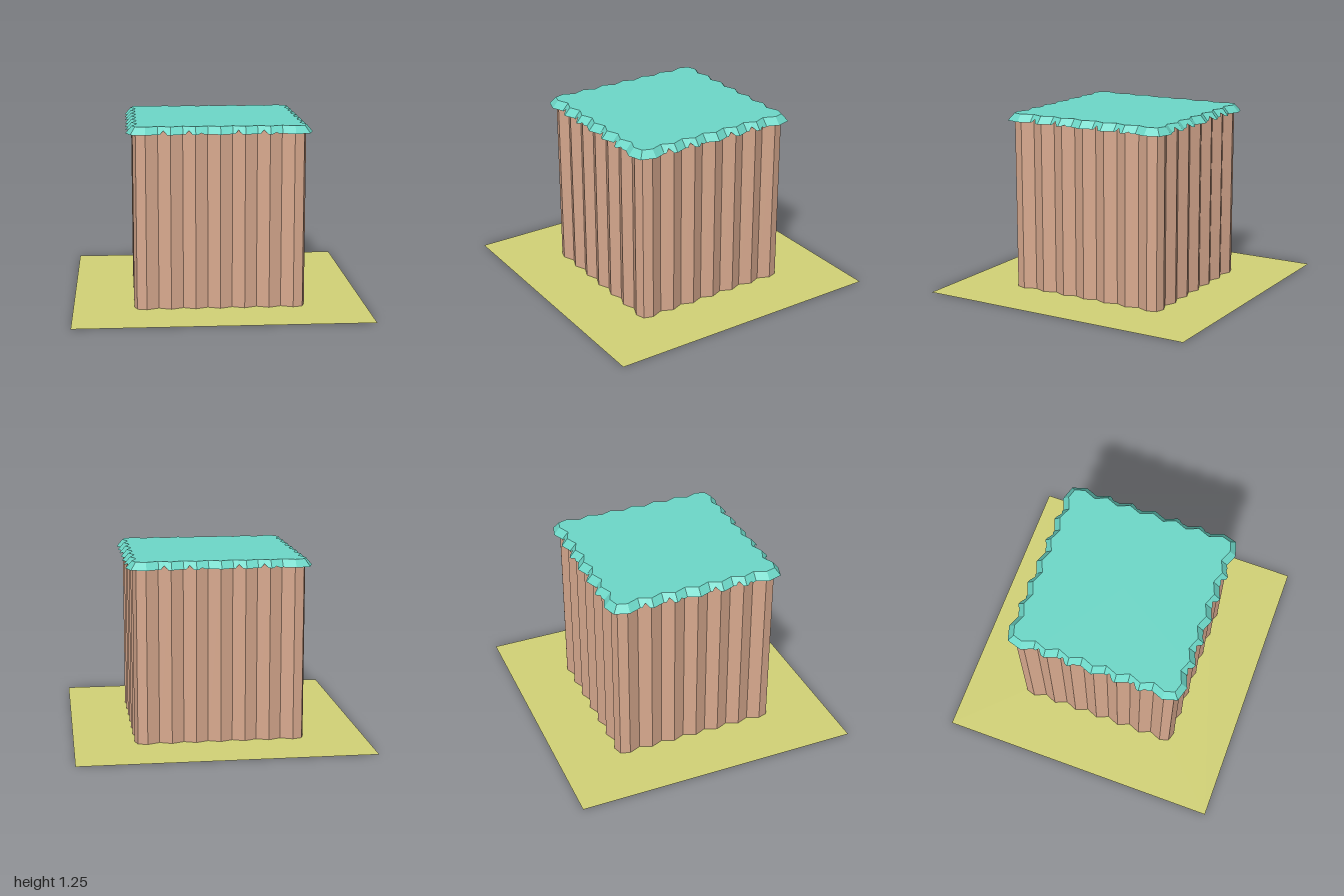
import * as THREE from 'three';

const STEP = 1 / 12;

// Turns one side's points [u, depth, y] into a closed loop around all four sides
function loopAround(side) {
  const pts = [];
  for (let k = 0; k < 4; k++) {
    const turn = new THREE.Matrix4().makeRotationY(k * Math.PI / 2);
    for (const [u, d, y] of side) pts.push(new THREE.Vector3(u, y, d).applyMatrix4(turn));
  }
  return pts;
}

// Zigzag side: ridges on multiples of 1/6, grooves between, plus the corner point
function zigzag(ridge, groove, corner, y) {
  const side = [[-corner, corner, y]];
  for (let i = -6; i <= 6; i++) side.push([i * STEP, i % 2 === 0 ? ridge : groove, y]);
  return side;
}

function geometryFrom(points) {
  const g = new THREE.BufferGeometry().setFromPoints(points);
  g.computeVertexNormals();
  return g;
}

// Wall of quads between two loops with equal counts
function band(lower, upper) {
  const out = [];
  lower.forEach((a, i) => {
    const j = (i + 1) % lower.length;
    out.push(a, lower[j], upper[j], a, upper[j], upper[i]);
  });
  return geometryFrom(out);
}

// Flat lid over a loop
function lid(loop, y) {
  const out = [];
  const centre = new THREE.Vector3(0, y, 0);
  loop.forEach((a, i) => out.push(centre, a, loop[(i + 1) % loop.length]));
  return geometryFrom(out);
}

// Depth of a zigzag side at position u
function depthAt(u, ridge, groove, corner) {
  const a = Math.abs(u);
  if (a > 0.5) return THREE.MathUtils.mapLinear(a, 0.5, corner, ridge, corner);
  const t = a / STEP % 2;
  return THREE.MathUtils.lerp(ridge, groove, t > 1 ? 2 - t : t);
}

export function createModel() {
  const model = new THREE.Group();
  const material = color => new THREE.MeshStandardMaterial({ color, side: THREE.DoubleSide, flatShading: true });
  const rockMat = material(0xd9aa8f);
  const turfMat = material(0x6dd8c8);
  const groundMat = material(0xd2d276);

  const add = (name, geometry, mat) => {
    const mesh = new THREE.Mesh(geometry, mat);
    mesh.name = name;
    model.add(mesh);
    return mesh;
  };

  // Ribbed rock walls, open below
  const wall = y => loopAround(zigzag(0.585, 0.55, 0.565, y));
  add('ribbedWalls', band(wall(0), wall(1.235)), rockMat);

  // Turf cap: a flat top and a sloping rim with small notches in its lower edge
  const top = zigzag(0.587, 0.553, 0.567, 1.25);
  const rim = zigzag(0.63, 0.597, 0.6, 1.2);
  const addNotch = (u, halfWidth, height) => {
    for (const s of [-1, 0, 1]) {
      const x = u + s * halfWidth;
      const drop = s === 0 ? height : 0;
      top.push([x, depthAt(x, 0.587, 0.553, 0.567), 1.25]);
      rim.push([x, depthAt(x, 0.63, 0.597, 0.6) - drop * 0.8, 1.2 + drop]);
    }
  };
  for (const u of [-0.38, -0.21, 0.12, 0.29]) addNotch(u, 0.024, 0.025);
  for (const u of [-0.13, 0.37]) addNotch(u, 0.022, 0.01);
  const byU = (a, b) => a[0] - b[0];
  const topLoop = loopAround(top.sort(byU));
  add('turfTop', lid(topLoop, 1.25), turfMat);
  add('turfRim', band(loopAround(rim.sort(byU)), topLoop), turfMat);

  // Ground sheet, open under the block, with a small square left in the middle
  const square = (Type, r) => new Type([[-r, -r], [r, -r], [r, r], [-r, r]].map(p => new THREE.Vector2(...p)));
  const sheet = square(THREE.Shape, 1);
  sheet.holes.push(square(THREE.Path, 0.52));
  add('ground', new THREE.ShapeGeometry(sheet).rotateX(-Math.PI / 2), groundMat);
  add('groundCentre', new THREE.PlaneGeometry(0.5, 0.5).rotateX(-Math.PI / 2), groundMat);

  return model;
}
